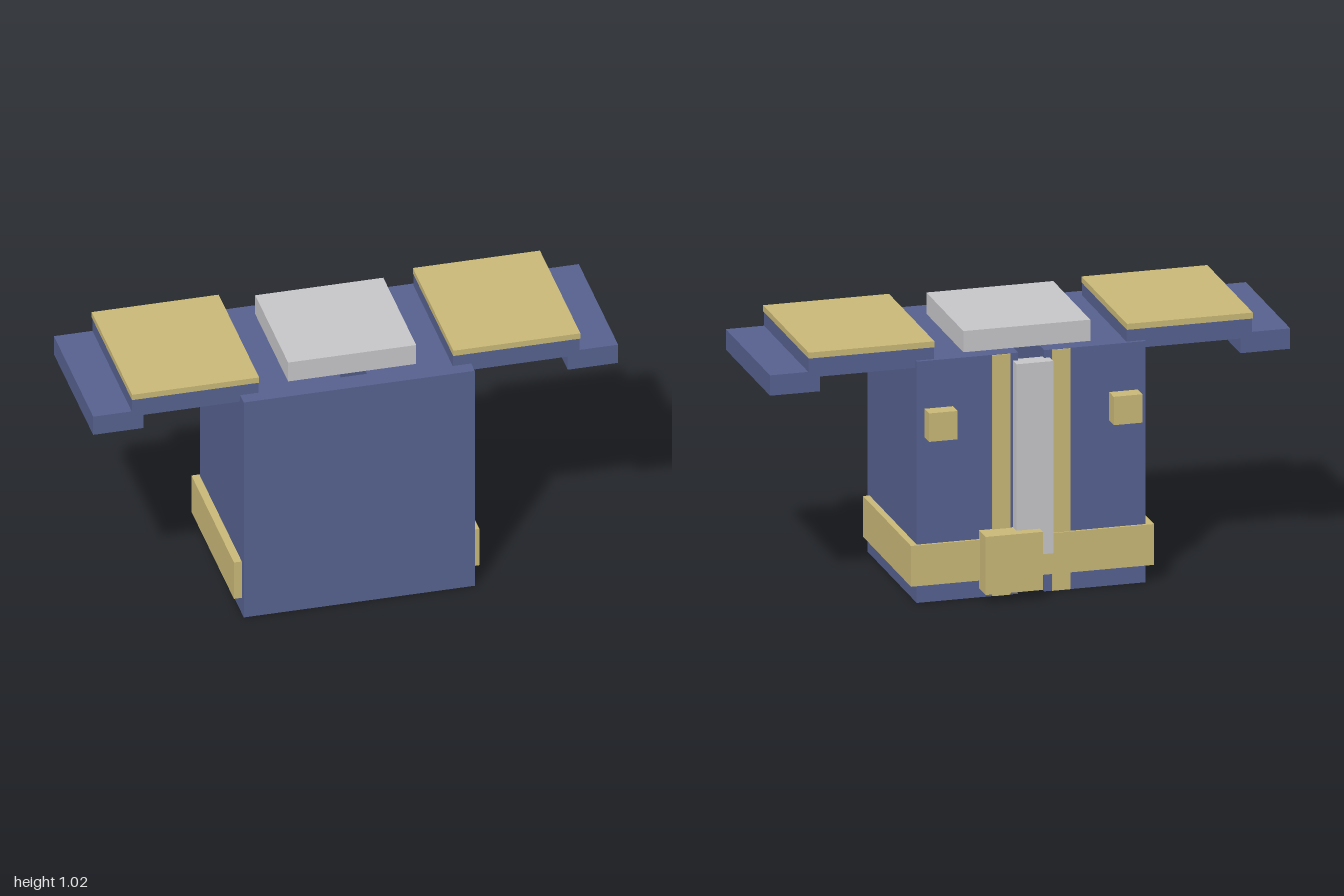
import * as THREE from 'three';

export function createModel() {
  const model = new THREE.Group();
  const blue = new THREE.MeshStandardMaterial({ name: 'blue', color: 0x56618f });
  const gold = new THREE.MeshStandardMaterial({ name: 'gold', color: 0xc9b877 });
  const grey = new THREE.MeshStandardMaterial({ name: 'grey', color: 0xc6c6c9 });

  // Box given by its lower and upper limits on each axis
  const box = (name, material, [x0, x1], [y0, y1], [z0, z1]) => {
    const mesh = new THREE.Mesh(new THREE.BoxGeometry(x1 - x0, y1 - y0, z1 - z0), material);
    mesh.position.set((x0 + x1) / 2, (y0 + y1) / 2, (z0 + z1) / 2);
    mesh.name = name;
    model.add(mesh);
  };
  // The same box on both sides of the model
  const pair = (name, material, [x0, x1], y, z) => {
    box(name + 'Left', material, [x0, x1], y, z);
    box(name + 'Right', material, [-x1, -x0], y, z);
  };

  // Body: U-shaped plan (shape y is -z) with a slot open at the back, extruded upwards
  const plan = new THREE.Shape([
    [-0.44, -0.365], [0.44, -0.365], [0.44, 0.28], [0.05, 0.28],
    [0.05, -0.285], [-0.05, -0.285], [-0.05, 0.28], [-0.44, 0.28],
  ].map(([x, y]) => new THREE.Vector2(x, y)));
  const bodyGeometry = new THREE.ExtrudeGeometry(plan, { depth: 0.935, bevelEnabled: false });
  bodyGeometry.rotateX(-Math.PI / 2);
  const body = new THREE.Mesh(bodyGeometry, blue);
  body.name = 'body';
  model.add(body);

  // Belt runs through the body and shows at the sides, the back and inside the slot
  box('belt', gold, [-0.47, 0.465], [0.068, 0.226], [-0.29, 0.336]);
  box('clasp', gold, [-0.02, 0.2], [0.035, 0.26], [-0.365, -0.28]);

  // Back details
  pair('backStrip', gold, [0.08, 0.15], [0.001, 0.934], [-0.285, -0.278]);
  pair('knob', gold, [0.3, 0.41], [0.64, 0.75], [-0.34, -0.275]);
  box('post', grey, [-0.072, 0.07], [0.16, 0.905], [-0.325, -0.262]);

  // Lid
  box('lid', grey, [-0.245, 0.243], [0.935, 1.017], [-0.22, 0.264]);

  // Stepped shoulder wings with their top plates
  pair('innerWing', blue, [0.37, 0.853], [0.907, 0.983], [-0.267, 0.312]);
  pair('outerWing', blue, [0.808, 1], [0.85, 0.929], [-0.267, 0.312]);
  pair('wingPlate', gold, [0.37, 0.854], [0.983, 1.006], [-0.275, 0.32]);

  return model;
}
